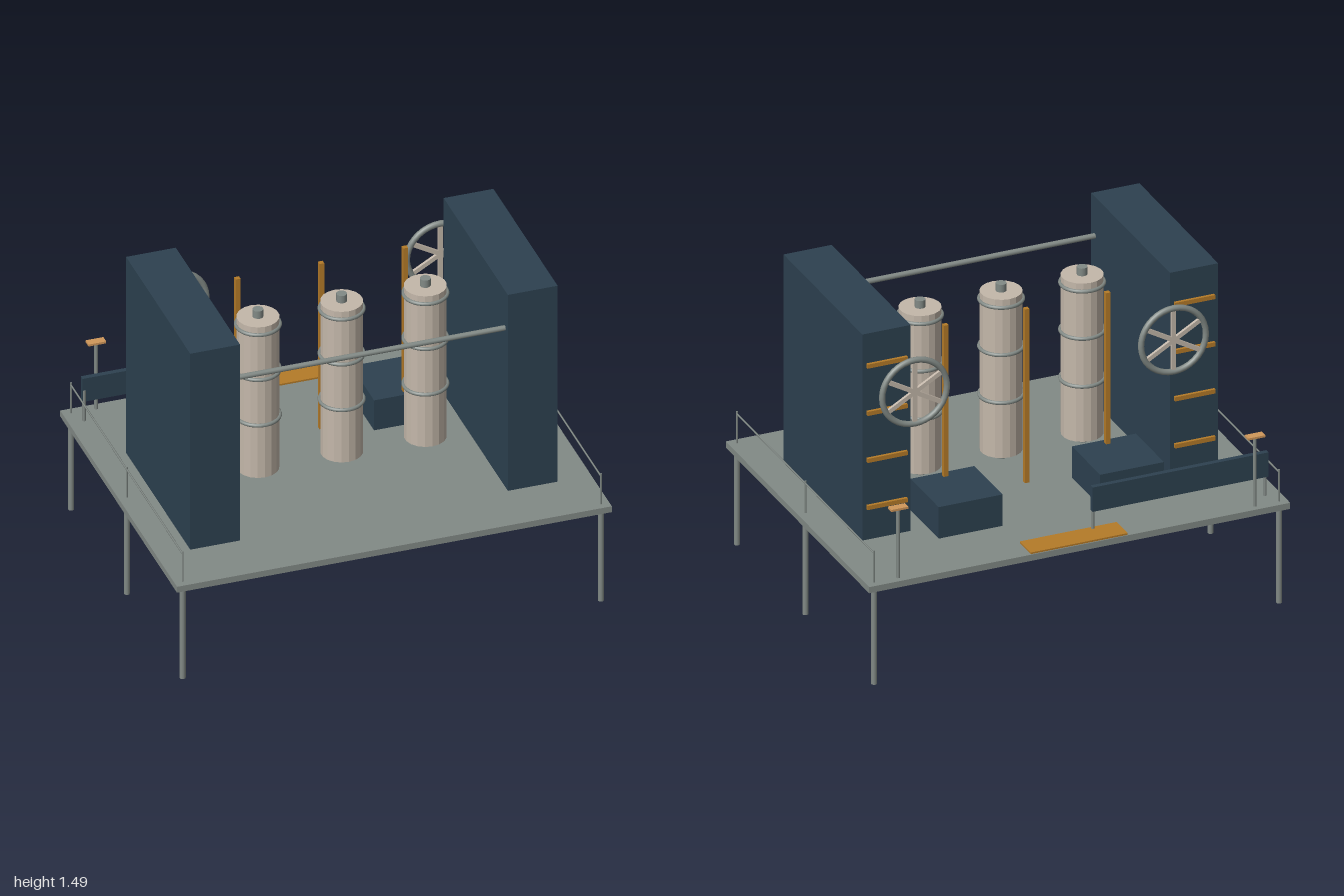
import * as THREE from 'three';

const mat = (name, color, extra = {}) => {
  const m = new THREE.MeshStandardMaterial({ color, ...extra });
  m.name = name;
  return m;
};

export function createModel() {
  const steel = mat('grey steel', 0x828a86);
  const navy = mat('navy cladding', 0x2d4150);
  const beige = mat('beige enamel', 0xc4b8aa);
  const ochre = mat('ochre paint', 0xb57b28);
  const amber = mat('light amber', 0xd0975a);

  const model = new THREE.Group();
  model.name = 'platformMachine';
  const DECK = 0.492;

  const add = (name, geo, material, x, y, z, parent = model) => {
    const mesh = new THREE.Mesh(geo, material);
    mesh.name = name;
    mesh.position.set(x, y, z);
    parent.add(mesh);
    return mesh;
  };
  // Box given by its lower and upper limits on each axis
  const box = (name, material, [x0, x1], [y0, y1], [z0, z1], parent) =>
    add(name, new THREE.BoxGeometry(x1 - x0, y1 - y0, z1 - z0), material,
      (x0 + x1) / 2, (y0 + y1) / 2, (z0 + z1) / 2, parent);
  // Upright rod from y0 to y1
  const rod = (name, material, r, x, y0, y1, z, parent, sides = 10) =>
    add(name, new THREE.CylinderGeometry(r, r, y1 - y0, sides), material, x, (y0 + y1) / 2, z, parent);

  // Deck and back mat
  box('deck', steel, [-1, 1], [0.462, DECK], [-0.767, 0.767]);
  box('deckMat', ochre, [-0.23, 0.23], [DECK, 0.5], [-0.762, -0.644]);

  // Parts mirrored on both sides
  for (const s of [-1, 1]) {
    const side = new THREE.Group();
    side.name = s > 0 ? 'leftSide' : 'rightSide';
    model.add(side);
    const span = (a, b) => (s > 0 ? [a, b] : [-b, -a]);

    // Legs and railing
    for (const z of [-0.733, 0, 0.733]) {
      rod('leg', steel, 0.0135, s * 0.962, 0, 0.464, z, side);
      rod('railPost', steel, 0.004, s * 0.962, DECK, 0.647, z, side, 6);
    }
    add('handrail', new THREE.CylinderGeometry(0.004, 0.004, 1.466, 6), steel, s * 0.962, 0.634, 0, side)
      .rotation.x = Math.PI / 2;

    // Tower with rungs on its back
    box('tower', navy, span(0.616, 0.845), [DECK, 1.494], [-0.345, 0.498], side);
    for (const y of [0.652, 0.881, 1.11, 1.34])
      box('rung', ochre, span(0.635, 0.826), [y - 0.01, y + 0.01], [-0.359, -0.34], side);

    // Spoked wheel behind the tower
    const wheel = new THREE.Group();
    wheel.name = 'wheel';
    wheel.position.set(s * 0.615, 1.187, -0.385);
    side.add(wheel);
    add('rim', new THREE.TorusGeometry(0.154, 0.014, 10, 36), steel, 0, 0, 0, wheel);
    for (let i = 0; i < 3; i++)
      add('spoke', new THREE.BoxGeometry(0.3, 0.02, 0.014), beige, 0, 0, 0, wheel)
        .rotation.z = Math.PI / 6 + (i * Math.PI) / 3;

    // Low cabinet
    box('cabinet', navy, span(0.232, 0.535), [DECK, 0.645], [-0.463, -0.163], side);

    // Stand with a small top plate
    rod('standPost', steel, 0.0085, s * 0.847, DECK, 0.83, -0.732, side);
    box('standTop', amber, span(0.807, 0.888), [0.827, 0.837], [-0.752, -0.714], side);
  }

  // Three banded tanks, each with a slim column behind
  for (const x of [-0.385, 0, 0.385]) {
    const tank = new THREE.Group();
    tank.name = 'tank';
    tank.position.set(x, 0, 0.074);
    model.add(tank);
    const body = rod('tankBody', beige, 0.094, 0, 0.573, 1.343, 0, tank, 18);
    body.geometry = body.geometry.toNonIndexed();
    body.geometry.computeVertexNormals();
    rod('tankSpindle', steel, 0.024, 0, 0.533, 1.38, 0, tank, 12);
    for (const y of [0.842, 1.075, 1.305])
      add('tankBand', new THREE.TorusGeometry(0.096, 0.009, 8, 28), steel, 0, y, 0, tank)
        .rotation.x = Math.PI / 2;
    box('column', ochre, [x - 0.011, x + 0.011], [0.535, 1.38], [-0.206, -0.184]);
  }

  // Cross bar between the towers
  add('crossBar', new THREE.CylinderGeometry(0.0125, 0.0125, 1.24, 10), steel, 0, 1.303, 0.459)
    .rotation.z = Math.PI / 2;

  // Back panel on two short posts
  box('backPanel', navy, [-0.937, -0.102], [0.59, 0.708], [-0.676, -0.652]);
  for (const x of [-0.929, -0.111])
    rod('panelPost', steel, 0.008, x, DECK, 0.647, -0.656);

  return model;
}
